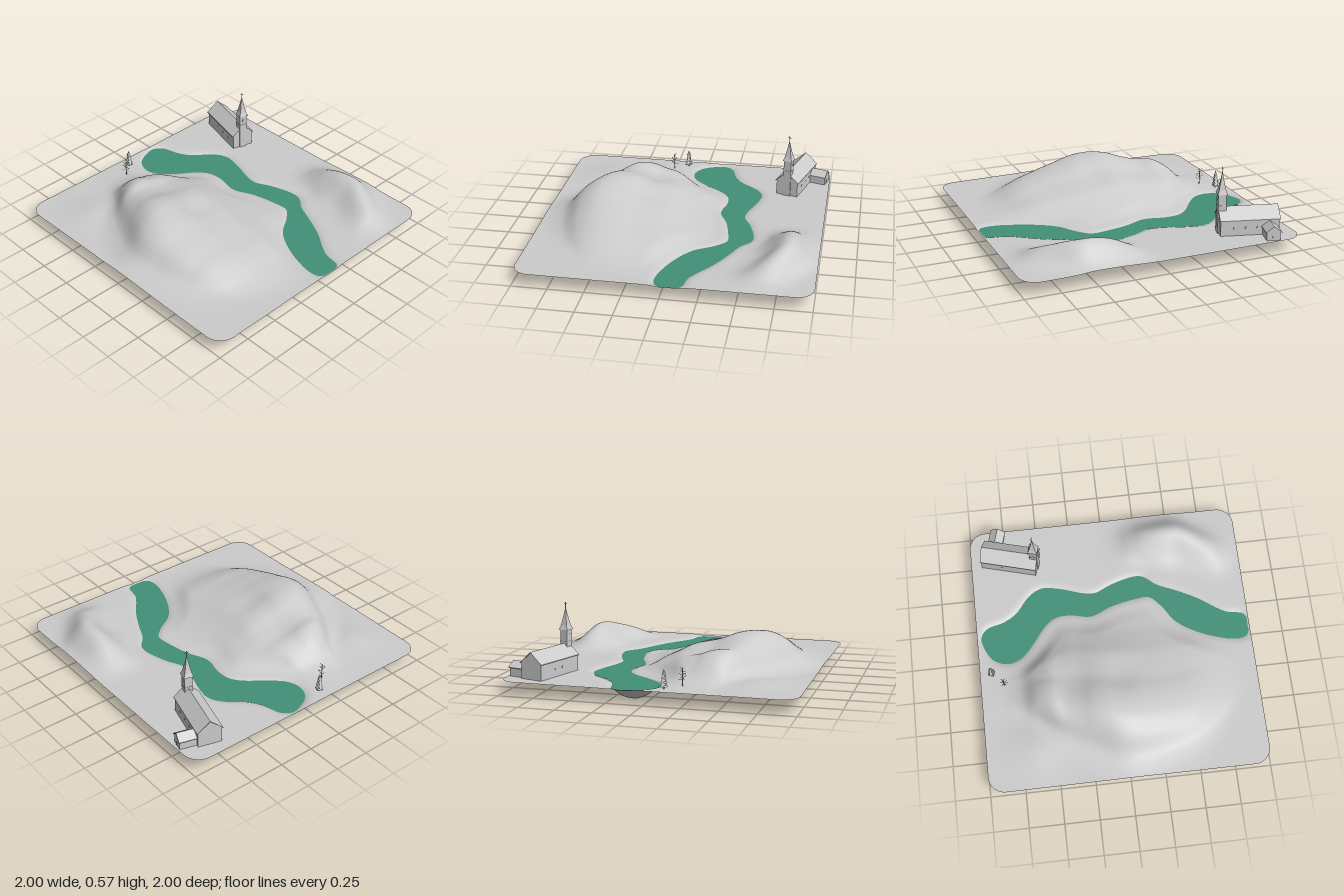
import * as THREE from 'three';

const BASE = 0.098, WATER = 0.084;
const grey = new THREE.MeshStandardMaterial({ color: 0xcccccc });
const flat = new THREE.MeshStandardMaterial({ color: 0xcccccc, flatShading: true });
const land = new THREE.MeshStandardMaterial({ color: 0xcccccc, side: THREE.DoubleSide });
const teal = new THREE.MeshStandardMaterial({ color: 0x439079, side: THREE.DoubleSide });

function add(parent, name, geometry, material, x = 0, y = 0, z = 0) {
  const mesh = new THREE.Mesh(geometry, material);
  mesh.name = name;
  mesh.position.set(x, y, z);
  parent.add(mesh);
  return mesh;
}

// Smooth lookup in an evenly spaced table
function table(values, start, step) {
  const at = i => values[THREE.MathUtils.clamp(i, 0, values.length - 1)];
  return x => {
    const u = THREE.MathUtils.clamp((x - start) / step, 0, values.length - 1);
    const i = Math.floor(u), t = u - i;
    const a = at(i - 1), b = at(i), c = at(i + 1), d = at(i + 2);
    return b + 0.5 * t * (c - a + t * (2 * a - 5 * b + 4 * c - d + t * (3 * (b - c) + d - a)));
  };
}

// Lake outline as [x, z]
const shore = new THREE.CatmullRomCurve3([
  [-0.97, -0.17], [-0.92, -0.235], [-0.8, -0.27], [-0.7, -0.33], [-0.6, -0.45], [-0.5, -0.51], [-0.35, -0.49],
  [-0.2, -0.44], [-0.1, -0.43], [0, -0.48], [0.2, -0.53], [0.27, -0.52], [0.35, -0.45], [0.5, -0.38], [0.65, -0.3],
  [0.78, -0.21], [0.85, -0.17], [0.985, -0.14], [0.99, -0.05], [0.985, 0.03], [0.9, 0.055], [0.73, 0.015], [0.55, -0.07],
  [0.45, -0.15], [0.38, -0.26], [0.29, -0.35], [0.2, -0.345], [0, -0.3], [-0.15, -0.24], [-0.3, -0.27], [-0.42, -0.26],
  [-0.5, -0.2], [-0.6, -0.07], [-0.7, 0.03], [-0.8, 0.055], [-0.9, 0.01], [-0.96, -0.1],
].map(([x, z]) => new THREE.Vector3(x, 0, z)), true).getPoints(130);

// Distance to the shore, positive inside the lake
function inLake(x, z) {
  let best = 9, inside = false;
  for (let i = 0; i + 1 < shore.length; i++) {
    const a = shore[i], b = shore[i + 1], dx = b.x - a.x, dz = b.z - a.z;
    const t = THREE.MathUtils.clamp(((x - a.x) * dx + (z - a.z) * dz) / (dx * dx + dz * dz + 1e-12), 0, 1);
    const ex = x - a.x - t * dx, ez = z - a.z - t * dz;
    best = Math.min(best, ex * ex + ez * ez);
    if ((a.z > z) !== (b.z > z) && x < a.x + ((z - a.z) / dz) * dx) inside = !inside;
  }
  return inside ? Math.sqrt(best) : -Math.sqrt(best);
}

// Lake bed depth, averaged over a small ring so that it is a round bowl
const bedScale = table([1, 1, 0.93, 0.8, 0.8, 0.72, 0.8, 0.85, 0.88, 0.78, 0.75], -1, 0.2);
function bedDepth(x, z) {
  let sum = 0;
  for (let i = 0; i < 9; i++) {
    const r = i ? 0.028 : 0, a = i * Math.PI / 4;
    const d = inLake(x + r * Math.cos(a), z + r * Math.sin(a)) + 0.006;
    const soft = (d + Math.sqrt(d * d + 0.0002)) / 2;
    sum += 0.147 * (1 - Math.exp(-soft / 0.12));
  }
  return bedScale(x) * sum / 9;
}

// Big hill: crest height by x, front edge by x, section along z
const crest = table([0, 0.005, 0.015, 0.05, 0.14, 0.19, 0.19, 0.21, 0.24, 0.25, 0.24, 0.22, 0.19, 0.165,
  0.138, 0.115, 0.078, 0.035, 0.01, 0, 0], -1, 0.1);
const frontEdge = table([0.38, 0.42, 0.48, 0.61, 0.7, 0.78, 0.77, 0.73, 0.65, 0.52, 0.4], -1, 0.2);
const section = table([0, 0.08, 0.2, 0.38, 0.58, 0.7, 0.8, 0.94, 1, 0.95, 0.7, 0.24, 0.06, 0, 0], -0.3, 0.1);
// Small hill behind the lake
const backCrest = table([0, 0.015, 0.06, 0.11, 0.14, 0.15, 0.14, 0.11, 0.075, 0.025, 0], 0, 0.1);

const bump = (x, z, cx, cz, r) => Math.exp(-((x - cx) ** 2 + (z - cz) ** 2) / (2 * r * r));

function groundHeight(x, z) {
  const bank = THREE.MathUtils.smoothstep(-inLake(x, z), 0, 0.17);
  const back = -0.3 + 0.22 * THREE.MathUtils.smoothstep(-x, 0.3, 0.65);
  const s = -0.3 + (z - back) * 1.04 / (frontEdge(x) - back);
  const dimples = 1 - 0.1 * bump(x, z, 0.03, 0.25, 0.09) - 0.12 * bump(x, z, -0.32, 0.3, 0.1);
  const big = crest(x) * section(s) * dimples;
  const dz = z + 0.8 - 0.15 * THREE.MathUtils.smoothstep(x, 0.5, 0.9);
  const small = backCrest(x) * Math.exp(-((dz / (dz > 0 ? 0.105 : 0.09)) ** 2) / 2);
  const swell = 0.025 * bump(x, z, -0.62, 0.68, 0.13) + 0.009 * bump(x, z, 0, 1, 0.4);
  return Math.max(0, BASE + (big + small + swell) * bank - bedDepth(x, z));
}

function terrain() {
  const g = new THREE.PlaneGeometry(2, 2, 130, 130).rotateX(-Math.PI / 2);
  const p = g.attributes.position, r = 0.12, lim = 1 - r;
  for (let i = 0; i < p.count; i++) {
    let x = p.getX(i), z = p.getZ(i);
    const ring = Math.max(Math.abs(x), Math.abs(z));
    if (ring > 1e-6) {
      // pull each square ring into a rounded square
      const ux = x / ring, uz = z / ring;
      const cx = THREE.MathUtils.clamp(ux, -lim, lim), cz = THREE.MathUtils.clamp(uz, -lim, lim);
      const k = r / Math.hypot(ux - cx, uz - cz);
      x = (cx + (ux - cx) * k) * ring;
      z = (cz + (uz - cz) * k) * ring;
    }
    p.setXYZ(i, x, groundHeight(x, z), z);
  }
  g.computeVertexNormals();
  return g;
}

// Prism along z from an outline of [x, y]
function prism(outline, length) {
  const shape = new THREE.Shape(outline.map(([x, y]) => new THREE.Vector2(x, y)));
  return new THREE.ExtrudeGeometry(shape, { depth: length, bevelEnabled: false }).translate(0, 0, -length / 2);
}

// Gabled house with its ridge along z
function house(name, width, length, eave, ridge) {
  const g = new THREE.Group(), w = width / 2, o = 0.008, t = 0.006;
  g.name = name;
  add(g, 'walls', prism([[-w, 0], [w, 0], [w, eave], [0, ridge - t], [-w, eave]], length), flat);
  const drop = eave - o * (ridge - eave) / w;
  add(g, 'roof', prism([[-w - o, drop], [0, ridge - t], [w + o, drop], [w + o, drop + t], [0, ridge], [-w - o, drop + t]],
    length + 0.012), flat);
  return g;
}

function church() {
  const g = new THREE.Group();
  g.name = 'church';
  const nave = house('nave', 0.164, 0.408, 0.112, 0.188);
  nave.rotation.y = Math.PI / 2;
  const annex = house('annex', 0.094, 0.12, 0.062, 0.102);
  annex.position.set(-0.135, 0, -0.139);
  g.add(nave, annex);

  // side windows and annex door
  for (const side of [-1, 1])
    for (const x of [-0.05, 0.03, 0.11])
      add(g, 'window', new THREE.BoxGeometry(0.008, 0.014, 0.004), flat, x, 0.055, side * 0.083);
  add(g, 'annexDoor', new THREE.BoxGeometry(0.016, 0.03, 0.004), flat, -0.135, 0.015, -0.2);

  // bell tower with flared square spire
  const tower = new THREE.Group();
  tower.name = 'tower';
  tower.position.x = 0.185;
  add(tower, 'shaft', new THREE.BoxGeometry(0.056, 0.285, 0.056), flat, 0, 0.1425, 0);
  add(tower, 'band', new THREE.BoxGeometry(0.06, 0.005, 0.06), flat, 0, 0.2, 0);
  for (let i = 0; i < 4; i++) {
    const opening = add(tower, 'bellOpening', new THREE.BoxGeometry(0.01, 0.022, 0.004), flat);
    opening.position.set(Math.sin(i * Math.PI / 2) * 0.028, 0.24, Math.cos(i * Math.PI / 2) * 0.028);
    opening.rotation.y = i * Math.PI / 2;
  }
  const profile = [[0, 0.28], [0.05, 0.28], [0.034, 0.31], [0.018, 0.365], [0.001, 0.435]];
  const spire = new THREE.LatheGeometry(profile.map(([x, y]) => new THREE.Vector2(x, y)), 4);
  add(tower, 'spire', spire, flat).rotation.y = Math.PI / 4;
  add(tower, 'crossPost', new THREE.BoxGeometry(0.004, 0.045, 0.004), flat, 0, 0.448, 0);
  add(tower, 'crossBar', new THREE.BoxGeometry(0.004, 0.004, 0.024), flat, 0, 0.458, 0);
  g.add(tower);

  g.position.set(-0.701, BASE, -0.748);
  g.rotation.y = -0.27;
  return g;
}

function conifer() {
  const g = new THREE.Group();
  g.name = 'conifer';
  add(g, 'trunk', new THREE.CylinderGeometry(0.004, 0.005, 0.04, 6), flat, 0, 0.02, 0);
  for (let i = 0; i < 7; i++) {
    const tier = new THREE.ConeGeometry(0.028 - i * 0.0022, 0.036, 4);
    add(g, 'foliage', tier, flat, 0, 0.034 + i * 0.0135, 0).rotation.y = 0.4 + (i % 2) * 0.5;
  }
  return g;
}

function bareTree() {
  const g = new THREE.Group();
  g.name = 'bareTree';
  add(g, 'trunk', new THREE.CylinderGeometry(0.002, 0.004, 0.12, 5), grey, 0, 0.06, 0);
  for (let i = 0; i < 14; i++) {
    const a = i * 2.4, y = 0.035 + i * 0.006, r = 0.032 - i * 0.001;
    const limb = new THREE.LineCurve3(new THREE.Vector3(0, y, 0),
      new THREE.Vector3(Math.cos(a) * r, y + 0.02 - (i % 3) * 0.012, Math.sin(a) * r));
    add(g, 'branch', new THREE.TubeGeometry(limb, 1, 0.0015, 4), grey);
  }
  return g;
}

export function createModel() {
  const model = new THREE.Group();
  model.name = 'landscape';
  add(model, 'terrain', terrain(), land);
  const outline = new THREE.Shape(shore.slice(0, -1).map(p => new THREE.Vector2(p.x, -p.z)));
  add(model, 'lake', new THREE.ShapeGeometry(outline).rotateX(-Math.PI / 2), teal, 0, WATER, 0);
  model.add(church());
  for (const [tree, x, z] of [[conifer(), -0.915, 0.12], [bareTree(), -0.83, 0.22]]) {
    tree.position.set(x, groundHeight(x, z) - 0.002, z);
    model.add(tree);
  }
  return model;
}
